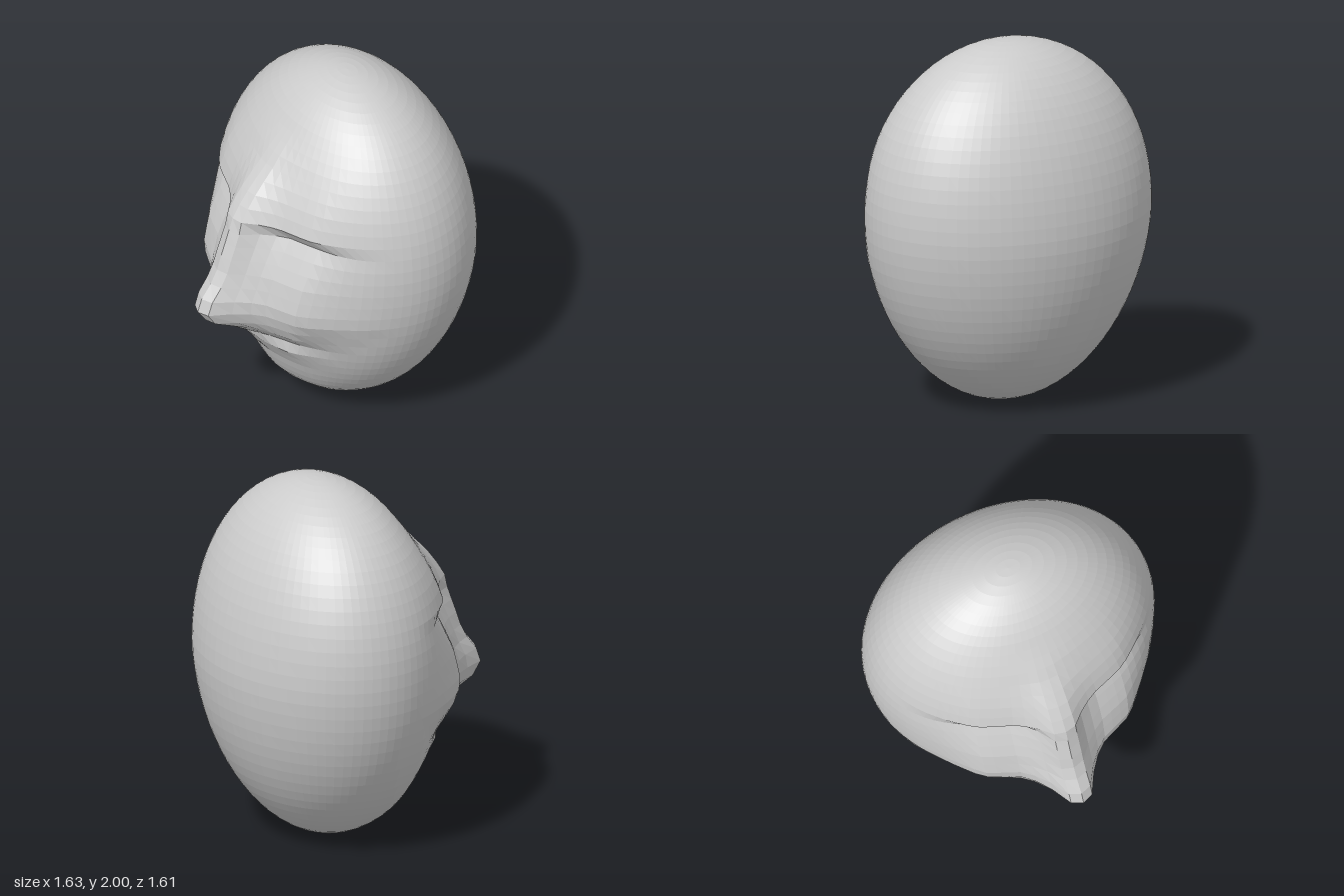
import * as THREE from 'three';

// Piecewise-linear lookup; points are [key, value, ...] sorted by rising key
function lookup(points, key, column = 1) {
  if (key <= points[0][0]) return points[0][column];
  for (let i = 1; i < points.length; i++) {
    const a = points[i - 1], b = points[i];
    if (key <= b[0]) {
      const t = (key - a[0]) / (b[0] - a[0]);
      return a[column] + (b[column] - a[column]) * t;
    }
  }
  return points[points.length - 1][column];
}

// Relief by height: [y, nose ridge, cheek / brow / lip relief, width of relief]
const relief = [
  [0.00, 0.00, 0.00, 0.6],
  [0.20, 0.01, 0.03, 0.6],
  [0.39, 0.01, 0.02, 0.65],
  [0.457, 0.02, 0.035, 0.65],
  [0.523, 0.02, 0.06, 0.65],
  [0.59, 0.085, 0.03, 0.7],
  [0.662, 0.12, 0.08, 0.8],
  [0.735, 0.22, 0.105, 0.9],
  [0.81, 0.25, 0.12, 1],
  [0.885, 0.22, 0.12, 1],
  [0.962, 0.18, 0.10, 1],
  [1.04, 0.16, 0.08, 1],
  [1.19, 0.185, 0.015, 1],
  [1.265, 0.205, -0.02, 1],
  [1.338, 0.125, 0.05, 1],
  [1.45, 0.09, 0.04, 1],
  [1.60, 0.03, 0.015, 1],
  [1.75, 0.00, 0.00, 1],
];

// Falloff away from the centre line: nose is narrow, cheeks are broad
const noseFalloff = [[0, 1], [0.06, 0.92], [0.1, 0.6], [0.17, 0.24], [0.25, 0.03], [0.33, 0]];
const cheekFalloff = [[0, 1], [0.43, 0.95], [0.5, 0.65], [0.6, 0.3], [0.75, 0]];

export function createModel() {
  const group = new THREE.Group();
  group.name = 'head';

  // Egg-shaped skull whose front vertices are pushed out into a face
  const geometry = new THREE.SphereGeometry(1, 80, 41);
  const pos = geometry.attributes.position;
  for (let i = 0; i < pos.count; i++) {
    const y = pos.getY(i) + 1;
    const front = pos.getZ(i);
    const x = pos.getX(i) * 0.81 * (1 + 0.09 * (y - 1));
    let z = front * 0.62 - 0.18 + 0.05 * Math.max(0, 1 - y);
    if (front > 0) {
      const ax = Math.abs(x);
      const nose = lookup(relief, y, 1) * lookup(noseFalloff, ax);
      const cheek = lookup(relief, y, 2) * lookup(cheekFalloff, ax / lookup(relief, y, 3));
      z += (nose + cheek) * THREE.MathUtils.smoothstep(front, 0, 0.4);
    }
    pos.setXYZ(i, x, y, z);
  }
  geometry.computeVertexNormals();

  const face = new THREE.Mesh(
    geometry,
    new THREE.MeshStandardMaterial({ color: 0xcccccc, flatShading: true })
  );
  face.name = 'headWithFace';
  group.add(face);
  return group;
}
